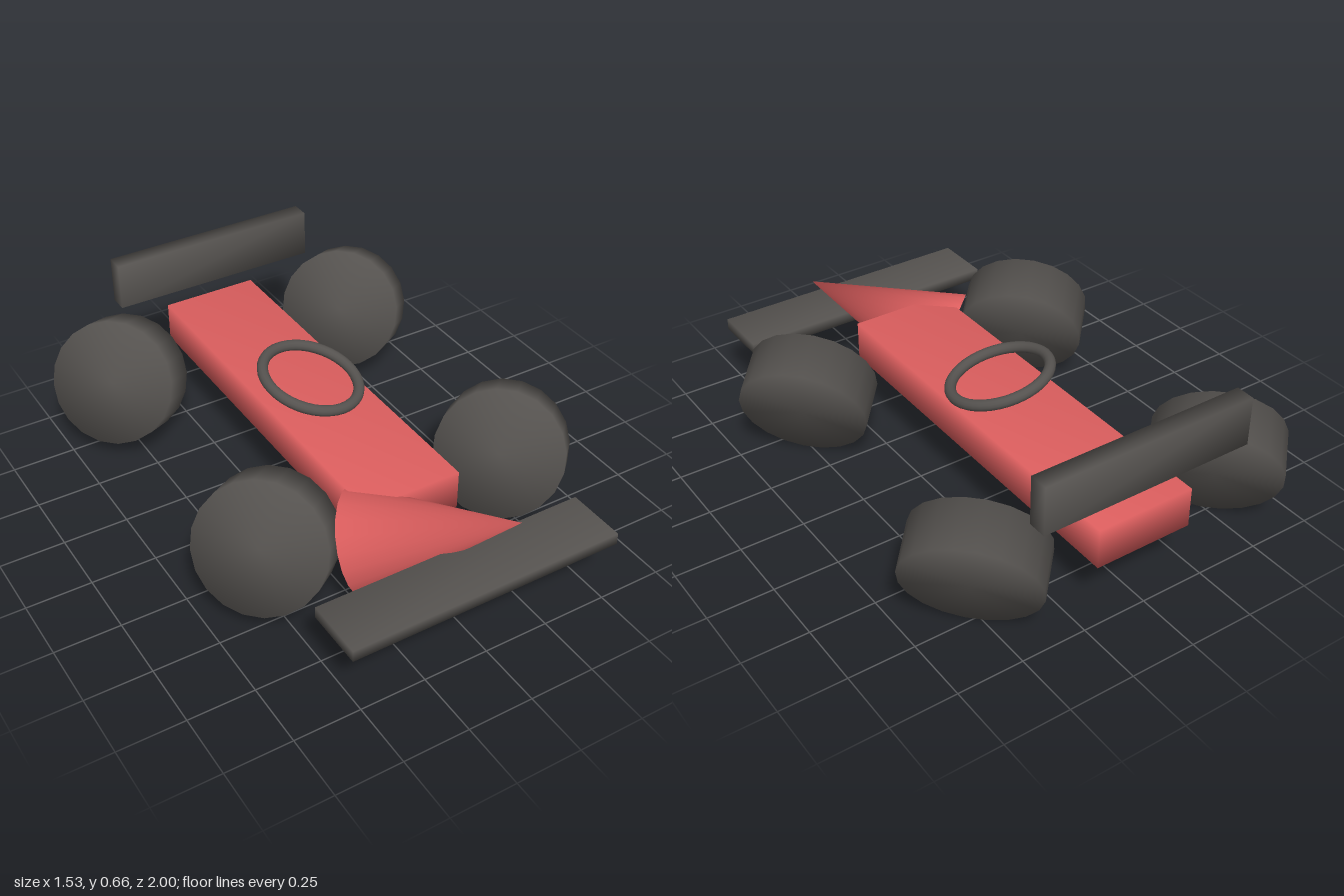
import * as THREE from 'three';
import { mergeVertices } from 'three/addons/utils/BufferGeometryUtils.js';

// Weld shared corners so shading runs softly over the edges
function soften(geometry) {
  geometry.deleteAttribute('normal');
  geometry.deleteAttribute('uv');
  const welded = mergeVertices(geometry, 1e-4);
  welded.computeVertexNormals();
  return welded;
}

export function createModel() {
  const model = new THREE.Group();
  const red = new THREE.MeshStandardMaterial({ color: 0xe06060 });
  red.name = 'red paint';
  const dark = new THREE.MeshStandardMaterial({ color: 0x55524f });
  dark.name = 'dark rubber';

  const add = (name, geometry, material, position, axis) => {
    const mesh = new THREE.Mesh(geometry, material);
    mesh.name = name;
    mesh.position.set(...position);
    // Turn the geometry's own y axis to the given direction
    if (axis) {
      mesh.quaternion.setFromUnitVectors(
        new THREE.Vector3(0, 1, 0), new THREE.Vector3(...axis).normalize());
    }
    model.add(mesh);
    return mesh;
  };
  const box = (w, h, d) => soften(new THREE.BoxGeometry(w, h, d));

  // Long body and the two wings
  add('body', box(0.385, 0.155, 1.515), red, [-0.003, 0.303, -0.218]);
  add('frontWing', box(1.065, 0.045, 0.23), dark, [0, 0.263, 0.885]);
  add('rearWing', box(0.84, 0.187, 0.073), dark, [0, 0.568, -0.948]);

  // Skewed nose cone, from base centre to tip
  const base = new THREE.Vector3(-0.19, 0.2, 0.49);
  const tip = new THREE.Vector3(0.195, 0.405, 0.89);
  const along = tip.clone().sub(base);
  const middle = base.clone().add(tip).multiplyScalar(0.5);
  add('noseCone', soften(new THREE.ConeGeometry(0.198, along.length(), 20)), red,
    middle.toArray(), along.toArray());

  // Tilted cockpit ring
  const ring = new THREE.TorusGeometry(0.187, 0.021, 12, 40).rotateX(Math.PI / 2);
  add('cockpitRing', ring, dark, [-0.003, 0.445, -0.148], [0.21, 1, 0.2]);

  // Four wheels, all turned the same way
  const wheel = soften(new THREE.CylinderGeometry(0.244, 0.244, 0.187, 20));
  const axle = [0.654, -0.38, -0.654];
  for (const [side, s] of [['Left', 1], ['Right', -1]]) {
    add('front' + side + 'Wheel', wheel, dark, [s * 0.498, 0.263, 0.387], axle);
    add('rear' + side + 'Wheel', wheel, dark, [s * 0.518, 0.263, -0.757], axle);
  }
  return model;
}
